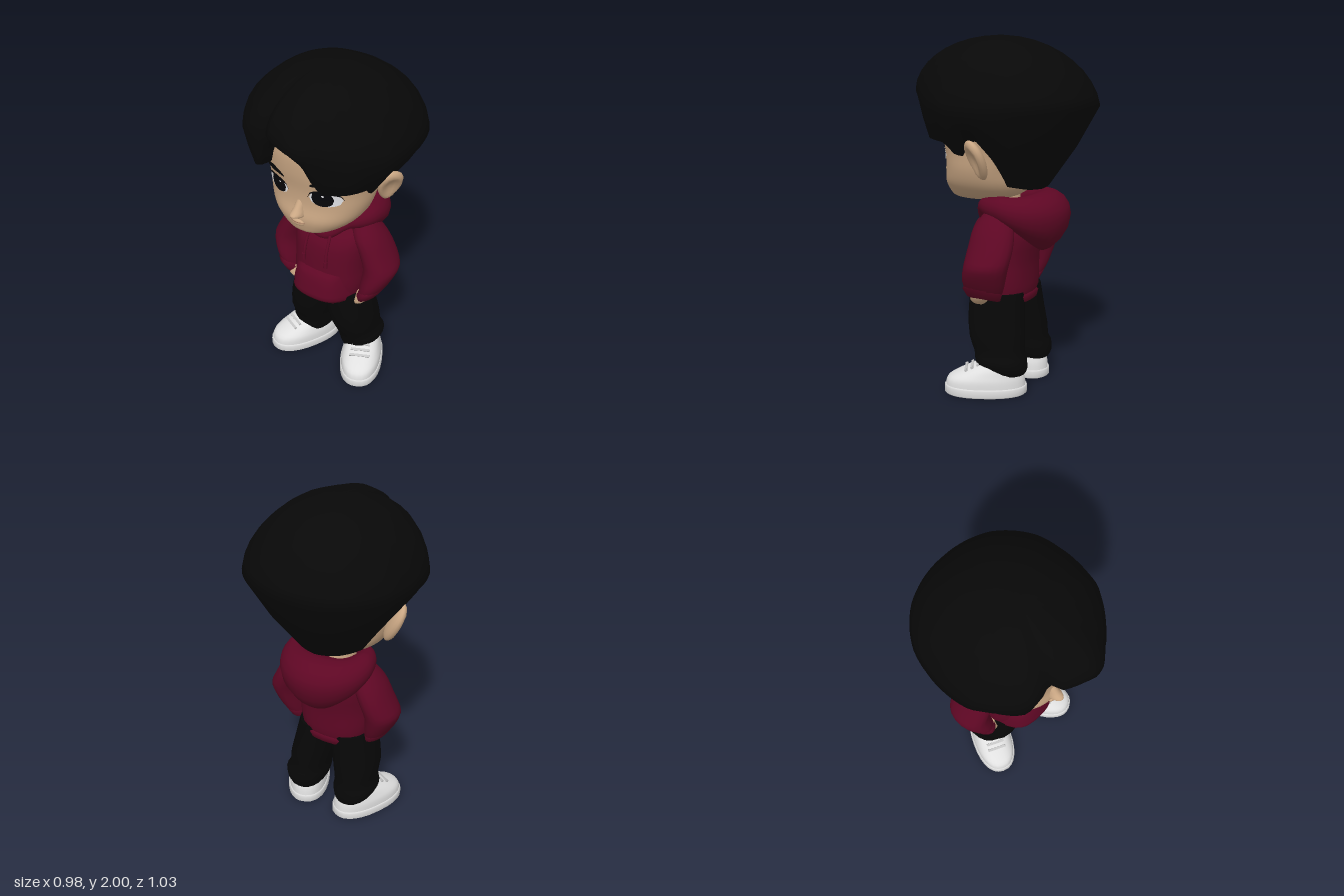
import * as THREE from 'three';

const material = (name, color) => Object.assign(new THREE.MeshStandardMaterial({ color }), { name });

// Surface through rows of points (bottom to top), closed around, with optional end caps
function surface(rows, caps = true) {
  const n = rows[0].length, pos = rows.flat(2), index = [];
  for (let j = 0; j < rows.length - 1; j++)
    for (let i = 0; i < n; i++) {
      const a = j * n + i, b = j * n + (i + 1) % n;
      index.push(a, b, b + n, a, b + n, a + n);
    }
  const cap = (row, up) => {
    const c = pos.length / 3;
    pos.push(...[0, 1, 2].map(k => row.reduce((t, p) => t + p[k], 0) / n), ...row.flat());
    for (let i = 0; i < n; i++) {
      const a = c + 1 + i, b = c + 1 + (i + 1) % n;
      index.push(c, up ? a : b, up ? b : a);
    }
  };
  if (caps) {
    cap(rows[0], false);
    cap(rows[rows.length - 1], true);
  }
  const g = new THREE.BufferGeometry();
  g.setAttribute('position', new THREE.Float32BufferAttribute(pos, 3));
  g.setIndex(index);
  g.computeVertexNormals();
  return g;
}

// Rings are [y, centre x, centre z, radius x, radius z]
const sp = (v, e) => Math.sign(v) * Math.abs(v) ** e;
function loft(rings, n = 20, p = 2) {
  return surface(rings.map(([y, cx, cz, rx, rz]) => Array.from({ length: n }, (_, i) => {
    const a = i / n * Math.PI * 2;
    return [cx + rx * sp(Math.sin(a), 2 / p), y, cz + rz * sp(Math.cos(a), 2 / p)];
  })));
}

// Adds smoothly interpolated rings
function refine(rings, k = 4) {
  const out = [], at = i => rings[Math.max(0, Math.min(rings.length - 1, i))];
  for (let j = 0; j < rings.length - 1; j++)
    for (let s = 0; s < k; s++) {
      const t = s / k;
      out.push(rings[j].map((b, c) => {
        const a = at(j - 1)[c], d = at(j + 1)[c], e = at(j + 2)[c];
        return b + 0.5 * t * (d - a + t * (2 * a - 5 * b + 4 * d - e + t * (3 * (b - d) + e - a)));
      }));
    }
  return [...out, at(rings.length - 1)];
}

// Linear lookup in a table keyed by its first column
function lookup(table, v) {
  let j = 0;
  while (j < table.length - 2 && table[j + 1][0] < v) j++;
  const t = THREE.MathUtils.clamp((v - table[j][0]) / (table[j + 1][0] - table[j][0]), 0, 1);
  return table[j].map((a, c) => a + (table[j + 1][c] - a) * t);
}

// Front depth of a lofted body at x, y
function frontZ(rings, p, x, y) {
  const [, cx, cz, rx, rz] = lookup(rings, y);
  return cz + rz * Math.max(0, 1 - Math.abs((x - cx) / rx) ** p) ** (1 / p);
}

// Moves every vertex by a rule
function warp(g, rule) {
  const q = g.attributes.position;
  for (let i = 0; i < q.count; i++) q.setXYZ(i, ...rule(q.getX(i), q.getY(i), q.getZ(i)));
  g.computeVertexNormals();
  return g;
}

// Thin patch laid over a body
const patch = (map, depth, nu = 14, nv = 4) => warp(new THREE.PlaneGeometry(2, 2, nu, nv), (u, v) => {
  const [x, y] = map(u, v);
  return [x, y, depth(x, y, u, v)];
});

export function createModel() {
  const model = new THREE.Group();
  const skin = material('skin', 0xc9a683), hair = material('hair black', 0x080808);
  const cloth = material('hoodie burgundy', 0x5e0724), pants = material('trouser black', 0x070707);
  const white = material('eye white', 0xe6e6ea), dark = material('iris black', 0x06060a);
  const shoe = material('shoe white', 0xe0e0e0), lace = material('lace grey', 0xc4c4c4);
  const lip = material('lip', 0xa87a62);
  const add = (name, geo, mat, parent = model) => {
    const m = new THREE.Mesh(geo, mat);
    m.name = name;
    parent.add(m);
    return m;
  };

  // Head and neck
  const head = refine([
    [1.085, 0, 0.16, 0.06, 0.08], [1.1, 0, 0.13, 0.14, 0.17], [1.14, 0, 0.1, 0.21, 0.22],
    [1.2, 0, 0.09, 0.262, 0.24], [1.28, 0, 0.08, 0.293, 0.236], [1.37, 0, 0.07, 0.305, 0.248],
    [1.48, 0, 0.06, 0.32, 0.275], [1.6, 0, 0.05, 0.31, 0.285], [1.72, 0, 0.04, 0.25, 0.25], [1.8, 0, 0.03, 0.1, 0.1]]);
  add('head', loft(head, 36, 2.25), skin);
  add('neck', loft([[0.92, 0, -0.01, 0.1, 0.1], [1.0, 0, 0.005, 0.1, 0.1], [1.16, 0, 0.03, 0.11, 0.11]], 16), skin);
  const onFace = off => (x, y) => frontZ(head, 2.25, x, y) + off;
  const round = u => Math.sqrt(Math.max(0, 1 - u * u));

  // Nose and mouth
  add('nose', loft(refine([[1.208, 0, 0.325, 0.012, 0.012], [1.222, 0, 0.325, 0.036, 0.04],
    [1.238, 0, 0.325, 0.034, 0.062], [1.262, 0, 0.31, 0.028, 0.045], [1.3, 0, 0.295, 0.022, 0.028],
    [1.34, 0, 0.285, 0.01, 0.015]]), 16), skin);
  add('lips', new THREE.SphereGeometry(1, 16, 10).scale(0.042, 0.02, 0.016).translate(0, 1.176, 0.328), skin);
  add('mouthLine', patch((u, v) => [0.056 * u, 1.182 + 0.009 * u * u + 0.003 * v * round(u)],
    (x, y, u) => onFace(0.004)(x, y) + 0.012 * (1 - u * u)), lip);

  for (const s of [1, -1]) {
    const side = s > 0 ? 'left' : 'right';
    // Oval patch mirrored to either side of the face
    const feature = (name, mat, cx, cy, rx, half, curve, off) =>
      add(side + name, patch((u, v) => [s * cx + rx * u, cy + curve(u * s) + v * half(u * s)], onFace(off)), mat);
    feature('EyeWhite', white, 0.152, 0, 0.084, u => 0.046 * round(u) ** 0.8, () => 1.358, 0.003);
    feature('Iris', dark, 0.14, 1.36, 0.058, u => 0.047 * round(u) ** 0.8, () => 0, 0.006);
    feature('Lash', dark, 0.152, 1.358, 0.09, u => 0.008 * (1 - u * u) + 0.002, u => 0.047 * round(u) ** 0.8, 0.007);
    feature('EyeShine', white, 0.134 + s * 0.012, 1.382, 0.007, u => 0.007 * round(u), () => 0, 0.009);
    feature('Eyebrow', hair, 0.162, 1.443, 0.084, u => 0.02 * (1 - 0.5 * Math.abs(u)) * round(u) ** 0.4,
      u => 0.014 - 0.02 * u * u, 0.008);

    // Ear with a hollow, flaring out at the top
    const e = add(side + 'Ear', warp(new THREE.SphereGeometry(1, 18, 14), (x, y, z) =>
      [0.04 * (x > 0 ? x * Math.min(1, 0.1 + 1.4 * (y * y + z * z)) : x), 0.118 * y, 0.068 * z * (1 + 0.3 * y)]), skin);
    e.position.set(s * 0.355, 1.357, -0.012);
    e.rotation.set(0, s > 0 ? -0.6 : Math.PI + 0.6, -0.42);
  }

  // Hair: [angle from front, hem height, hem radius, widest height, widest radius]
  const sides = [[45, 1.44, 0.43, 1.64, 0.475], [62, 1.43, 0.4, 1.62, 0.48], [70, 1.35, 0.35, 1.61, 0.49],
    [80, 1.43, 0.355, 1.6, 0.487], [90, 1.46, 0.36, 1.6, 0.487], [104, 1.36, 0.335, 1.6, 0.493],
    [120, 1.2, 0.262, 1.61, 0.512], [150, 1.175, 0.255, 1.62, 0.528], [180, 1.165, 0.255, 1.62, 0.52]];
  const hairKeys = [...sides.map(([a, ...r]) => [-a, ...r]).reverse(),
    [-34, 1.45, 0.43, 1.67, 0.47], [-29, 1.52, 0.42, 1.68, 0.45], [-24, 1.61, 0.41, 1.69, 0.43],
    [-17, 1.66, 0.375, 1.72, 0.39], [-12, 1.67, 0.42, 1.74, 0.46], [0, 1.68, 0.45, 1.73, 0.49],
    [9, 1.68, 0.47, 1.72, 0.52], [16, 1.61, 0.465, 1.7, 0.515], [22, 1.49, 0.44, 1.69, 0.5],
    [27, 1.44, 0.42, 1.68, 0.485], ...sides];
  const hairRows = Array.from({ length: 14 }, () => []);
  for (let i = 0; i < 90; i++) {
    const deg = i * 4 > 180 ? i * 4 - 360 : i * 4, a = deg * Math.PI / 180;
    const [, yb, rb, ym, rm] = lookup(hairKeys, deg);
    const put = (j, r, y, z = 0) => hairRows[j].push([r * Math.sin(a), y, r * Math.cos(a) + z]);
    put(0, rb * 0.6, yb + 0.03);
    put(1, rb * 0.93, yb);
    put(2, rb, yb + 0.01);
    put(3, rb + (rm - rb) * 0.55, yb + (ym - yb) * 0.5);
    for (let j = 4; j < 14; j++) {
      const t = (j - 4) / 9 * 1.52;
      put(j, rm * (Math.cos(t) - 0.035 * Math.sin(2 * t)), ym + (2 - ym) * Math.sin(t), 0.025 * Math.sin(t));
    }
  }
  add('hair', surface(hairRows), hair);

  // Hoodie body, hem and pouch
  const torso = [[0.53, 0, 0, 0.2, 0.162], [0.58, 0, 0, 0.215, 0.178], [0.66, 0, 0, 0.225, 0.18],
    [0.76, 0, -0.005, 0.22, 0.178], [0.88, 0, -0.02, 0.228, 0.18], [0.95, 0, -0.03, 0.225, 0.155],
    [1.0, 0, -0.045, 0.21, 0.11], [1.06, 0, -0.06, 0.16, 0.07]];
  add('hoodieBody', loft(refine(torso, 2), 24, 2.3), cloth);
  add('hoodieHem', loft([[0.512, 0, 0, 0.19, 0.16], [0.517, 0, 0, 0.207, 0.175], [0.55, 0, 0, 0.214, 0.182],
    [0.562, 0, 0, 0.205, 0.172]], 24, 2.3), cloth);
  add('hoodiePouch', patch((u, v) => [u * (0.182 - 0.035 * v), 0.643 + 0.1 * v - 0.01 * u * u],
    (x, y, u, v) => frontZ(torso, 2.3, x, y) - 0.006 +
      0.07 * (1 - u ** 6) * (1 - v ** 8) * (0.75 - 0.35 * v), 16, 10), cloth);

  // Hood closing in a V at the throat and hanging to a point down the back
  const hoodRows = Array.from({ length: 17 }, (_, j) => Array.from({ length: 40 }, (_, i) => {
    const b = j / 16 * Math.PI * 2 - Math.PI, a = i / 40 * Math.PI * 2, u = (1 - Math.cos(a)) / 2;
    const size = 0.036 + 0.064 * u + 0.034 * u ** 4, low = b < 0 ? u ** 4 : 0;
    const out = sp(Math.cos(b), 1 + 0.5 * low) * size, up = Math.sin(b) * size * (1 + 0.5 * low);
    const y = 0.962 + 0.11 * Math.sin(Math.min(6 * u, 1) * Math.PI / 2) - 0.055 * Math.max(0, 2 * u - 1);
    return [(0.2 + out) * Math.sin(a), y + up, -0.075 + (0.175 + out) * Math.cos(a)];
  }));
  add('hood', surface(hoodRows, false), cloth);

  for (const s of [1, -1]) {
    const side = s > 0 ? 'left' : 'right';
    const mirror = rings => rings.map(([y, x, ...r]) => [y, s * x, ...r]);

    // Drawstring
    const cord = new THREE.CatmullRomCurve3([[0.06, 1.0, 0.1], [0.07, 0.95, 0.14], [0.073, 0.88, 0.17], [0.075, 0.8, 0.183]]
      .map(([x, y, z]) => new THREE.Vector3(s * x, y, z)));
    add(side + 'Drawstring', new THREE.TubeGeometry(cord, 12, 0.009, 8), cloth);
    add(side + 'DrawstringTip', new THREE.CylinderGeometry(0.011, 0.013, 0.04, 8).translate(s * 0.075, 0.81, 0.183), cloth);

    // Sleeve and cuff, the opening tilted towards the pocket, and the hand
    const tilt = g => warp(g, (x, y, z) =>
      [x, y + 0.4 * (s * x - 0.275) * THREE.MathUtils.clamp((0.8 - y) / 0.15, 0, 1), z]);
    add(side + 'Sleeve', tilt(loft(refine(mirror([[0.59, 0.27, -0.005, 0.066, 0.1], [0.65, 0.295, -0.015, 0.088, 0.122],
      [0.76, 0.312, -0.04, 0.097, 0.128], [0.87, 0.272, -0.05, 0.09, 0.13], [0.97, 0.222, -0.045, 0.086, 0.115],
      [1.06, 0.175, -0.045, 0.06, 0.06]]), 3), 18)), cloth);
    add(side + 'Cuff', tilt(loft(mirror([[0.565, 0.26, 0.0, 0.05, 0.08], [0.57, 0.262, 0.0, 0.062, 0.098],
      [0.61, 0.278, 0, 0.078, 0.118], [0.63, 0.283, 0, 0.07, 0.105]]), 18)), cloth);
    add(side + 'Hand', loft(refine(mirror([[0.52, 0.215, 0.05, 0.025, 0.035], [0.545, 0.232, 0.045, 0.04, 0.052],
      [0.6, 0.252, 0.025, 0.048, 0.06]]), 3), 14), skin);

    // Trouser leg with a gathered ankle
    const inset = s > 0 ? 0 : 0.018;
    add(side + 'TrouserLeg', loft(refine(mirror([[0.12, 0.165, -0.07, 0.095, 0.135], [0.15, 0.17, -0.07, 0.115, 0.145],
      [0.2, 0.172, -0.062, 0.13, 0.147], [0.24, 0.162, -0.048, 0.118, 0.147], [0.32, 0.152, -0.028, 0.127, 0.162],
      [0.43, 0.13, -0.012, 0.128, 0.165], [0.58, 0.105, -0.005, 0.118, 0.16]])
      .map(([y, x, ...r]) => [y, x + inset * Math.max(0, 1 - y / 0.45), ...r]), 2), 20, 2.3), pants);

    // Shoe turned outward
    const foot = new THREE.Group();
    foot.name = side + 'Shoe';
    foot.position.set(s > 0 ? 0.222 : -0.196, 0, 0.01);
    foot.rotation.y = s * 0.44;
    model.add(foot);
    add('sole', loft([[0, 0, 0, 0.12, 0.226], [0.008, 0, 0, 0.128, 0.236], [0.045, 0, 0, 0.128, 0.236],
      [0.052, 0, 0, 0.122, 0.23]], 28, 2.3), shoe, foot);
    add('upper', loft(refine([[0.045, 0, 0, 0.12, 0.229], [0.09, 0, -0.003, 0.118, 0.219], [0.125, 0, -0.025, 0.108, 0.185],
      [0.155, 0, -0.055, 0.098, 0.147], [0.182, 0, -0.08, 0.084, 0.112]], 3), 28, 2.3), shoe, foot);
    for (let i = 0; i < 3; i++) {
      const l = add('lace', new THREE.BoxGeometry(0.105 + i * 0.008, 0.012, 0.015), lace, foot);
      l.position.set(0, 0.174 - i * 0.0145, 0.042 + i * 0.034);
      l.rotation.x = 0.42;
    }
  }
  return model;
}
